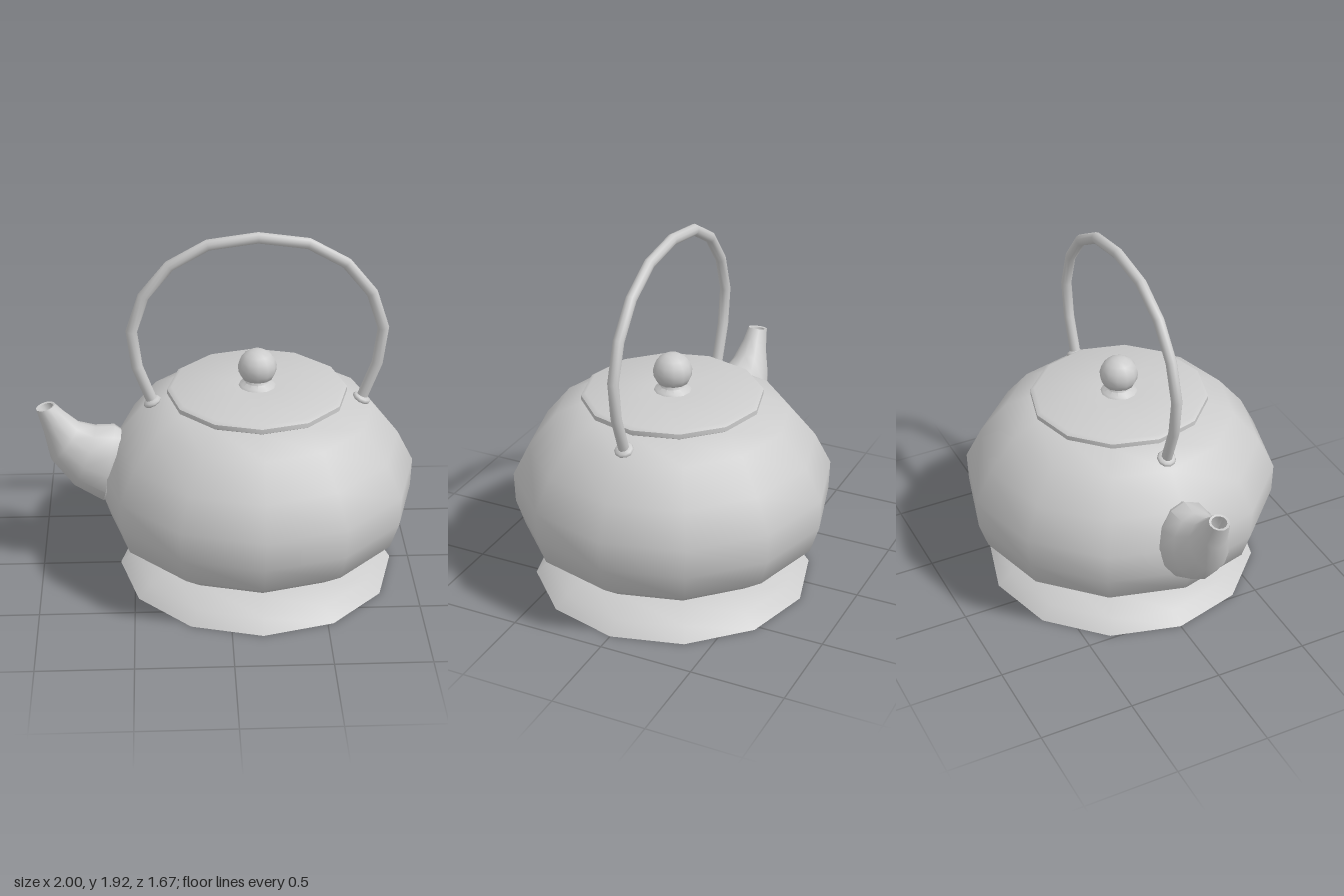
import * as THREE from 'three';
import { toCreasedNormals } from 'three/addons/utils/BufferGeometryUtils.js';

const CX = 0.16; // axis of the pot
const material = new THREE.MeshStandardMaterial({ color: 0xcccccc });

function addMesh(group, name, geometry) {
  const mesh = new THREE.Mesh(geometry, material);
  mesh.name = name;
  group.add(mesh);
  return mesh;
}

// Turned part around the pot's axis, profile from bottom to top
function turned(group, name, profile, sides = 12) {
  const geo = new THREE.LatheGeometry(profile.map(([r, y]) => new THREE.Vector2(r, y)), sides);
  addMesh(group, name, toCreasedNormals(geo, 0.8)).position.x = CX;
}

// Skin over elliptical sections: centre (x, y), half axis (hx, hy), half width w in z
function loft(sections, sides) {
  const pos = [], index = [];
  for (const { x, y, hx, hy, w } of sections) {
    for (let j = 0; j < sides; j++) {
      const a = (j / sides) * Math.PI * 2;
      pos.push(x + hx * Math.cos(a), y + hy * Math.cos(a), w * Math.sin(a));
    }
  }
  for (let i = 0; i < sections.length - 1; i++) {
    for (let j = 0; j < sides; j++) {
      const a = i * sides + j, b = i * sides + (j + 1) % sides;
      index.push(a, b, a + sides, b, b + sides, a + sides);
    }
  }
  const geo = new THREE.BufferGeometry();
  geo.setAttribute('position', new THREE.Float32BufferAttribute(pos, 3));
  geo.setIndex(index);
  geo.computeVertexNormals();
  return toCreasedNormals(geo, 0.9);
}

export function createModel() {
  const group = new THREE.Group();
  group.name = 'teapot';

  // Flared foot, closed below
  turned(group, 'base', [[0, 0], [0.74, 0], [0.67, 0.062], [0.54, 0.115], [0.34, 0.15], [0, 0.15]]);

  // Rounded pot
  turned(group, 'body', [
    [0, 0.145], [0.34, 0.15], [0.645, 0.2], [0.785, 0.305], [0.832, 0.45],
    [0.837, 0.61], [0.75, 0.78], [0.61, 0.95], [0.46, 1.02], [0, 1.02],
  ]);

  // Lid with a bevelled rim
  turned(group, 'lid', [
    [0, 1.015], [0.455, 1.02], [0.472, 1.03], [0.472, 1.055], [0.45, 1.068], [0.12, 1.073], [0, 1.073],
  ]);

  // Knob: flared neck and ball
  const knob = [[0.1, 1.07], [0.09, 1.083], [0.065, 1.095], [0.06, 1.11]];
  for (let i = 0; i <= 6; i++) {
    const a = -0.65 + (i / 6) * (Math.PI / 2 + 0.65);
    knob.push([Math.max(0, 0.102 * Math.cos(a)), 1.178 + 0.098 * Math.sin(a)]);
  }
  turned(group, 'knob', knob);

  // Spout sections: top x, y, bottom x, y, half width; the last two line the mouth
  const spout = [
    [-0.45, 0.75, -0.52, 0.5, 0.05],
    [-0.59, 0.845, -0.665, 0.41, 0.16],
    [-0.69, 0.84, -0.82, 0.51, 0.145],
    [-0.775, 0.865, -0.935, 0.66, 0.105],
    [-0.855, 0.935, -0.965, 0.82, 0.068],
    [-0.9, 0.98, -1, 0.955, 0.053],
    [-0.91, 0.975, -0.985, 0.955, 0.04],
    [-0.87, 0.885, -0.93, 0.835, 0.035],
    [-0.885, 0.84, -0.885, 0.84, 0],
  ].map(([tx, ty, bx, by, w]) => ({
    x: (tx + bx) / 2, y: (ty + by) / 2, hx: (bx - tx) / 2, hy: (by - ty) / 2, w,
  }));
  addMesh(group, 'spout', loft(spout, 12));

  // Hoop handle, mirrored about the pot's axis
  const half = [[0.54, 0.96], [0.625, 1.19], [0.65, 1.39], [0.585, 1.585], [0.45, 1.75], [0.255, 1.86]];
  const path = [
    ...half.map(([d, y]) => [CX - d, y]),
    [CX, 1.895],
    ...half.slice().reverse().map(([d, y]) => [CX + d, y]),
  ];
  const handle = path.map(([x, y], i) => {
    const p = path[Math.max(0, i - 1)], n = path[Math.min(path.length - 1, i + 1)];
    const t = new THREE.Vector2(n[0] - p[0], n[1] - p[1]).setLength(0.03);
    return { x, y, hx: -t.y, hy: t.x, w: 0.028 };
  });
  addMesh(group, 'handle', loft(handle, 10));

  // Small collars where the handle meets the pot
  for (const side of [-1, 1]) {
    const collar = addMesh(group, 'handleCollar', new THREE.SphereGeometry(0.05, 10, 6));
    collar.scale.y = 0.45;
    collar.position.set(CX + side * 0.55, 0.985, 0);
    collar.rotation.z = -side * 0.45;
  }

  return group;
}
